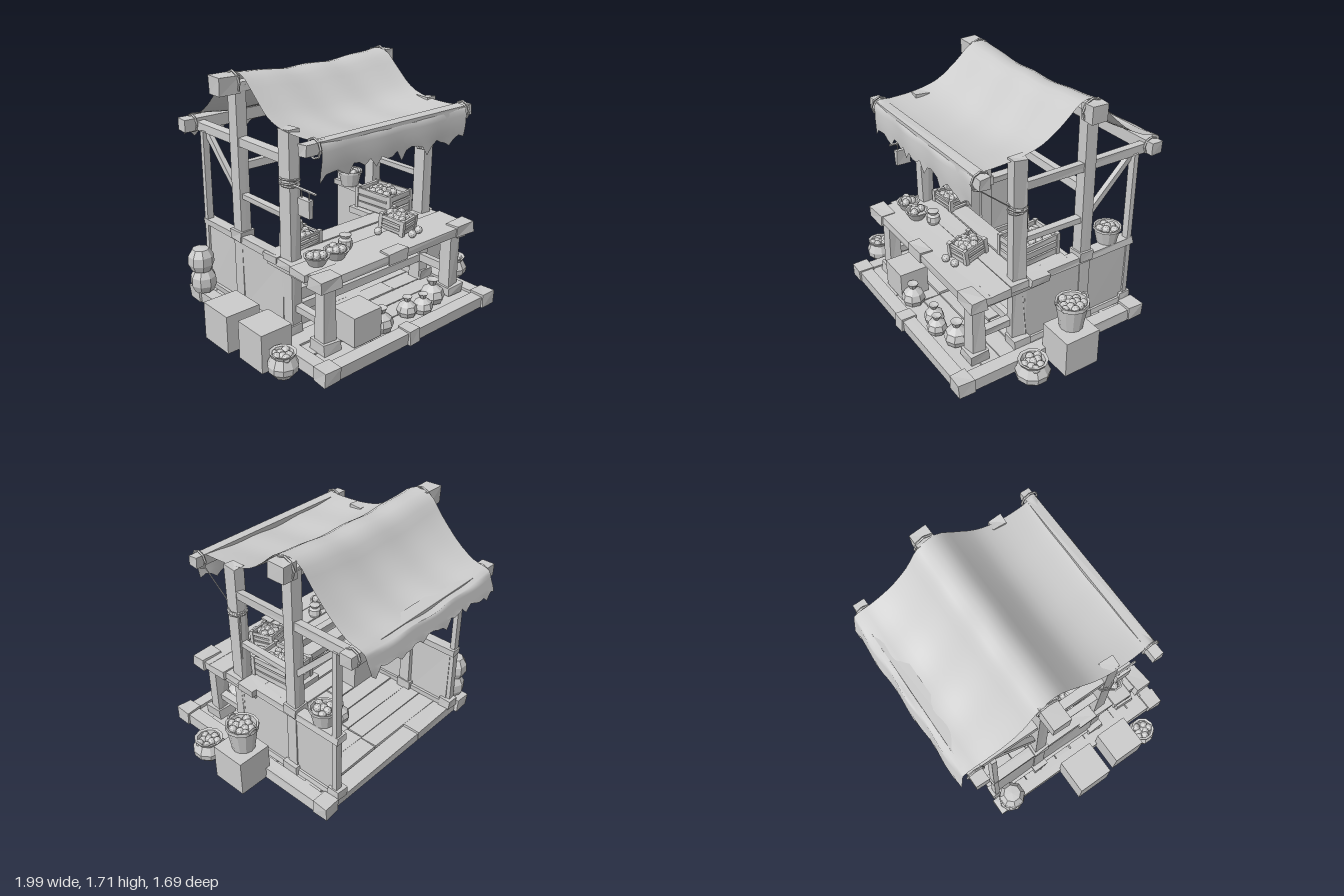
import * as THREE from 'three';

export function createModel() {
  const root = new THREE.Group();
  const flat = new THREE.MeshStandardMaterial({ color: 0xcccccc, flatShading: true });
  const thin = new THREE.MeshStandardMaterial({ color: 0xcccccc, flatShading: true, side: THREE.DoubleSide });
  const cloth = new THREE.MeshStandardMaterial({ color: 0xcccccc, side: THREE.DoubleSide });
  let seed = 7;
  const rnd = () => (seed = (seed * 16807) % 2147483647) / 2147483647;
  const wob = a => (rnd() * 2 - 1) * a;

  const add = (name, geo, x = 0, y = 0, z = 0, parent = root, mat = flat) => {
    const m = new THREE.Mesh(geo, mat);
    m.name = name;
    m.position.set(x, y, z);
    parent.add(m);
    return m;
  };
  const group = (name, x = 0, y = 0, z = 0, ry = 0) => {
    const g = new THREE.Group();
    g.name = name;
    g.position.set(x, y, z);
    g.rotation.y = ry;
    root.add(g);
    return g;
  };
  // Hand-hewn block between two corners: its eight corners are nudged slightly
  const block = (name, x0, x1, y0, y1, z0, z1, a = 0.005, parent = root) => {
    const geo = new THREE.BoxGeometry(x1 - x0, y1 - y0, z1 - z0);
    const off = Array.from({ length: 8 }, () => [wob(a), wob(a), wob(a)]);
    const p = geo.attributes.position;
    for (let i = 0; i < p.count; i++) {
      const k = (p.getX(i) > 0 ? 1 : 0) + (p.getY(i) > 0 ? 2 : 0) + (p.getZ(i) > 0 ? 4 : 0);
      p.setXYZ(i, p.getX(i) + off[k][0], p.getY(i) + off[k][1], p.getZ(i) + off[k][2]);
    }
    geo.computeVertexNormals();
    return add(name, geo, (x0 + x1) / 2, (y0 + y1) / 2, (z0 + z1) / 2, parent);
  };
  const lathe = (name, pts, x, y, z, parent = root, sides = 10) =>
    add(name, new THREE.LatheGeometry(pts.map(p => new THREE.Vector2(...p)), sides), x, y, z, parent, thin);
  const rod = (name, a, b, r) => {
    const path = new THREE.LineCurve3(new THREE.Vector3(...a), new THREE.Vector3(...b));
    return add(name, new THREE.TubeGeometry(path, 1, r, 5), 0, 0, 0, root, thin);
  };
  const produce = (n, r, x, y, z, parent = root) => {
    for (let i = 0; i < n; i++) {
      const t = i * 2.4, d = r * Math.sqrt(i / n);
      add('produce', new THREE.IcosahedronGeometry(0.028, 1), x + d * Math.cos(t), y + wob(0.008), z + d * Math.sin(t), parent);
    }
  };

  // Base frame and plank floor
  block('frontSill', -0.72, 0.72, 0, 0.085, 0.74, 0.83);
  block('sillBlock', -0.07, 0.02, 0, 0.1, 0.73, 0.845);
  for (const s of [-1, 1]) {
    block('sideSill', s * 0.72 - 0.045, s * 0.72 + 0.045, 0, 0.08, -0.62, 0.8);
    for (const z of [0.785, -0.585]) block('cornerBlock', s * 0.72 - 0.06, s * 0.72 + 0.06, 0, 0.1, z - 0.058, z + 0.058);
  }
  for (let i = 0; i < 10; i++) {
    const z = -0.62 + i * 0.136, cut = wob(0.35);
    block('floorPlank', -0.69, cut - 0.004, 0.005, 0.07 + wob(0.008), z, z + 0.131, 0.004);
    block('floorPlank', cut + 0.004, 0.69, 0.005, 0.07 + wob(0.008), z, z + 0.131, 0.004);
  }

  // Posts, walls, rails and braces, mirrored to both sides
  for (const s of [-1, 1]) {
    const bx = (name, cx, w, ...r) => block(name, s * cx - w / 2, s * cx + w / 2, ...r);
    bx('frontPost', 0.59, 0.08, 0.07, 1.43, 0.25, 0.34, 0.01);
    bx('ridgePost', 0.6, 0.08, 0.07, 1.6, -0.26, -0.17);
    bx('backPost', 0.62, 0.05, 0.07, 1.22, -0.61, -0.57, 0.003);
    for (const [z, w] of [[0.295, 0.12], [-0.215, 0.12], [-0.585, 0.09]])
      bx('postFoot', 0.61, w, 0.07, 0.14, z - w / 2, z + w / 2);
    bx('ridgePostCollar', 0.6, 0.11, 0.55, 0.62, -0.27, -0.16);
    bx('frontWall', 0.61, 0.045, 0.07, 0.56, -0.18, 0.26);
    bx('backWall', 0.61, 0.045, 0.07, 0.56, -0.58, -0.25);
    bx('wallFoot', 0.61, 0.08, 0.07, 0.11, -0.58, 0.26);
    bx('wallCap', 0.61, 0.08, 0.54, 0.59, -0.62, 0.2);
    bx('upperSideBeam', 0.6, 0.055, 1.21, 1.27, -0.72, 0.28);
    bx('sideRail', 0.6, 0.045, 0.845, 0.885, -0.2, 0.28);
    const brace = bx('brace', 0.6, 0.035, -0.23, 0.23, -0.02, 0.02, 0.002);
    brace.position.set(s * 0.6, 1.04, -0.41);
    brace.rotation.x = -0.78;
    // Rope lashings
    for (const [y, z, r] of [[1.1, 0.295, 0.062], [1.115, 0.295, 0.06], [1.08, 0.295, 0.06]]) {
      const t = add('ropeLashing', new THREE.TorusGeometry(r, 0.007, 5, 8), s * 0.59, y, z);
      t.rotation.set(Math.PI / 2 + wob(0.12), wob(0.12), 0);
    }
    for (const [y, z, r] of [[1.38, 0.58, 0.06], [1.62, -0.205, 0.075], [1.25, -0.715, 0.058]]) {
      const t = add('beamLashing', new THREE.TorusGeometry(r, 0.008, 5, 8), s * 0.635, y, z);
      t.rotation.y = Math.PI / 2;
    }
  }
  block('tieBeam', -0.58, 0.58, 1.035, 1.09, -0.24, -0.19);

  // Canopy poles
  block('ridgeBeam', -0.7, 0.65, 1.56, 1.62, -0.25, -0.17);
  block('ridgeBeamEnd', -0.77, -0.62, 1.56, 1.675, -0.265, -0.145);
  block('ridgeBeamEnd', 0.6, 0.71, 1.56, 1.675, -0.265, -0.145);
  block('frontBeam', -0.72, 0.69, 1.345, 1.42, 0.545, 0.615);
  block('backBeam', -0.72, 0.69, 1.21, 1.295, -0.76, -0.675);

  // Sagging cloth with ragged hems
  const profile = new THREE.CatmullRomCurve3([
    [0.622, 1.21], [0.625, 1.32], [0.605, 1.42], [0.5, 1.415], [0.3, 1.425], [0.14, 1.47], [0.0, 1.57],
    [-0.14, 1.68], [-0.27, 1.67], [-0.38, 1.54], [-0.52, 1.41], [-0.66, 1.33], [-0.79, 1.295], [-0.815, 1.22], [-0.83, 1.15],
  ].map(([z, y]) => new THREE.Vector3(0, y, z)));
  const cols = 28, rows = 42;
  const canopy = new THREE.PlaneGeometry(1, 1, cols, rows);
  const cp = canopy.attributes.position;
  for (let i = 0; i < cp.count; i++) {
    const u = (i % (cols + 1)) / cols, j = Math.floor(i / (cols + 1)), v = j / rows;
    const p = profile.getPoint(v), mid = 1 - (2 * u - 1) ** 2;
    const hem = v < 0.14 || v > 0.86;
    let y = p.y - (hem ? 0 : mid * (0.03 + 0.025 * Math.sin((v - 0.14) / 0.72 * Math.PI * 2) ** 2));
    if (j === 0 || j === rows) y += (i % 5 === 0 ? -0.035 : 0.012) + wob(0.02);
    const fold = 0.006 * Math.sin(u * 19 + v * 9);
    cp.setXYZ(i, -0.63 + 1.24 * u + 0.012 * Math.sin(v * 17), y + (hem ? 0 : fold * mid), p.z + (hem ? fold : 0));
  }
  canopy.computeVertexNormals();
  add('canopy', canopy, 0, 0, 0, root, cloth);

  // Counter: planked top, edge caps, legs and stretchers
  for (let i = 0; i < 4; i++) {
    const z = 0.1 + i * 0.146;
    block('counterPlank', -0.67 + wob(0.015), 0.67 + wob(0.015), 0.535, 0.59, z, z + 0.142);
  }
  block('innerShelf', 0.26, 0.6, 0.55, 0.59, -0.1, 0.1);
  for (const s of [-1, 1]) {
    block('counterEndCap', s * 0.61 - 0.085, s * 0.61 + 0.085, 0.525, 0.6, 0.58, 0.695, 0.008);
    block('counterEndBeam', s * 0.61 - 0.04, s * 0.61 + 0.04, 0.5, 0.56, 0.12, 0.66);
    block('counterLeg', s * 0.57 - 0.05, s * 0.57 + 0.05, 0.07, 0.53, 0.555, 0.645, 0.008);
    block('legFoot', s * 0.57 - 0.07, s * 0.57 + 0.07, 0.07, 0.14, 0.53, 0.67, 0.008);
    block('sideStretcher', s * 0.57 - 0.025, s * 0.57 + 0.025, 0.225, 0.275, 0.3, 0.58);
  }
  block('stretcher', -0.55, 0.55, 0.22, 0.275, 0.3, 0.345);
  block('frontApronPatch', -0.12, 0.05, 0.53, 0.6, 0.6, 0.69);

  // Hanging sign and loose ropes
  rod('signRod', [-0.6, 1.085, 0.28], [-0.6, 1.085, 0.55], 0.009);
  for (const z of [0.42, 0.49]) rod('signCord', [-0.6, 1.085, z], [-0.6, 1.02, z], 0.004);
  block('sign', -0.615, -0.585, 0.92, 1.03, 0.4, 0.51, 0.004);
  rod('tieRope', [0.6, 1.32, 0.59], [0.6, 1.12, 0.35], 0.004);
  rod('hangingRope', [0.62, 1.1, 0.24], [0.62, 0.75, 0.25], 0.006);
  rod('hangingRope', [0.62, 0.53, 0.28], [0.63, 0.14, 0.25], 0.008);

  // Slatted crates filled with produce
  const crate = (name, x, y, z, w, h, d, ry) => {
    const g = group(name, x, y, z, ry);
    block('crateBottom', -w / 2, w / 2, 0, 0.015, -d / 2, d / 2, 0, g);
    for (let i = 0; i < 3; i++) {
      const y0 = 0.005 + i * h / 3, y1 = y0 + h / 3 - 0.012;
      for (const s of [-1, 1]) {
        block('crateSlat', -w / 2, w / 2, y0, y1, s * d / 2 - 0.008, s * d / 2 + 0.008, 0.003, g);
        block('crateSlat', s * w / 2 - 0.008, s * w / 2 + 0.008, y0, y1, -d / 2, d / 2, 0.003, g);
      }
    }
    for (const s of [-1, 1]) for (const t of [-1, 1])
      block('crateCorner', s * w / 2 - 0.014, s * w / 2 + 0.014, 0, h, t * d / 2 - 0.014, t * d / 2 + 0.014, 0.002, g);
    block('crateFill', -w / 2 + 0.01, w / 2 - 0.01, 0.02, h - 0.035, -d / 2 + 0.01, d / 2 - 0.01, 0, g);
    produce(16, Math.min(w, d) * 0.42, 0, h - 0.02, 0, g);
    return g;
  };
  crate('largeCrate', 0.42, 0.592, 0.085, 0.22, 0.155, 0.3, 0.08);
  crate('smallCrate', 0.22, 0.6, 0.42, 0.15, 0.11, 0.17, 0.2).rotation.x = 0.12;
  crate('jarCrate', -0.42, 0.592, 0.18, 0.2, 0.09, 0.14, 0.1);

  // Jars and bowls on the counter
  const jarShape = [[0, 0], [0.035, 0], [0.05, 0.03], [0.045, 0.065], [0.028, 0.078], [0.04, 0.1], [0, 0.105]];
  lathe('jar', jarShape, -0.45, 0.695, 0.17);
  lathe('jar', jarShape, -0.25, 0.59, 0.42);
  const bowlShape = [[0, 0], [0.05, 0], [0.085, 0.06], [0.072, 0.06], [0.06, 0.04], [0, 0.04]];
  for (const [x, z] of [[-0.53, 0.47], [-0.38, 0.48]]) {
    lathe('bowl', bowlShape, x, 0.59, z);
    produce(5, 0.05, x, 0.65, z);
  }
  for (const [x, z] of [[0.06, 0.4], [0.2, 0.58], [0.28, 0.56]])
    add('looseProduce', new THREE.IcosahedronGeometry(0.028, 1), x, 0.615, z);

  // Tied sacks
  const sackShape = [[0, 0], [0.07, 0], [0.085, 0.04], [0.07, 0.085], [0.022, 0.118], [0.04, 0.155], [0, 0.145]];
  for (const [x, z, k] of [[-0.15, 0.66, 1], [0.11, 0.64, 0.85], [0.22, 0.68, 0.85], [0.38, 0.62, 1.05], [0.05, -0.1, 0.9]]) {
    const m = lathe('sack', sackShape, x, 0.075, z, root, 8);
    m.scale.setScalar(k);
    m.rotation.y = wob(1);
  }
  const bundle = [[0, 0], [0.07, 0], [0.092, 0.05], [0.09, 0.11], [0.06, 0.16], [0, 0.165]];
  lathe('stackedSack', bundle, -0.735, 0.09, -0.53, root, 8);
  lathe('stackedSack', bundle, -0.745, 0.25, -0.53, root, 8).rotation.y = 0.4;

  // Boxes under the counter and around the stall
  block('counterBox', -0.44, -0.21, 0.075, 0.28, 0.51, 0.72, 0);
  block('rearBox', -0.52, -0.29, 0.075, 0.34, 0.05, 0.28, 0);
  block('leftBox', -1, -0.75, 0, 0.26, -0.1, 0.16, 0);
  block('leftBox', -0.97, -0.74, 0, 0.26, 0.24, 0.48, 0);
  block('rightBox', 0.73, 0.98, 0, 0.26, -0.08, 0.18, 0);

  // Baskets and round pots
  const pot = [[0, 0], [0.065, 0], [0.11, 0.045], [0.115, 0.085], [0.085, 0.14], [0.1, 0.165], [0.08, 0.16], [0.07, 0.13], [0, 0.13]];
  lathe('pot', pot, 0.88, 0, 0.365);
  produce(9, 0.07, 0.88, 0.14, 0.365);
  lathe('pot', pot, -0.88, 0, 0.57).scale.set(0.85, 1, 0.85);
  produce(8, 0.06, -0.88, 0.14, 0.57);
  const basket = [[0, 0], [0.078, 0], [0.105, 0.17], [0.114, 0.17], [0.112, 0.195], [0.098, 0.19], [0.09, 0.155], [0, 0.155]];
  lathe('basket', basket, 0.84, 0.26, 0.04, root, 12);
  produce(12, 0.08, 0.84, 0.435, 0.04);
  for (const s of [-1, 1]) {
    const h = add('basketHandle', new THREE.TorusGeometry(0.03, 0.008, 5, 8, Math.PI), 0.84, 0.44, 0.04 + s * 0.1);
    h.rotation.x = s * 0.3;
  }
  lathe('wallBasket', basket, 0.58, 0.585, -0.445, root, 12).scale.set(0.86, 0.62, 0.86);
  produce(7, 0.06, 0.58, 0.69, -0.445);
  return root;
}
